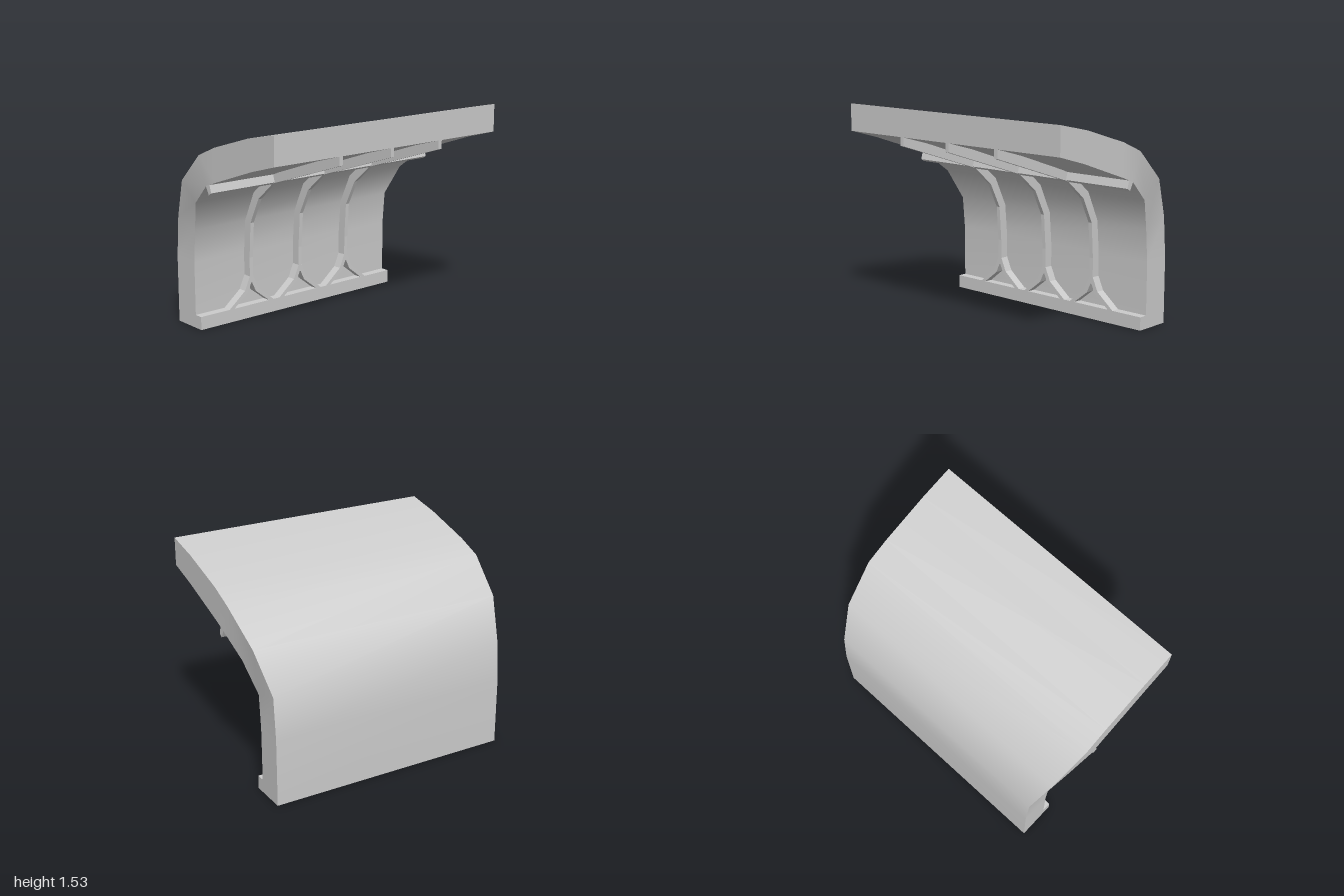
import * as THREE from 'three';
import { toCreasedNormals } from 'three/addons/utils/BufferGeometryUtils.js';

const material = new THREE.MeshStandardMaterial({ color: 0xcccccc });

// Stations along the bend: outer z, outer y, inner z, inner y, half width
const STATIONS = [
  [0.63, 1.53, 0.63, 1.33, 1],
  [0.37, 1.475, 0.4, 1.265, 1],
  [0, 1.365, 0, 1.13, 1],
  [-0.18, 1.29, -0.105, 1.09, 1],
  [-0.45, 1.07, -0.29, 0.94, 0.96],
  [-0.6, 0.78, -0.395, 0.72, 0.9],
  [-0.625, 0.48, -0.415, 0.48, 0.9],
  [-0.625, 0, -0.415, 0, 0.9],
];

function named(name, geometry) {
  const mesh = new THREE.Mesh(geometry, material);
  mesh.name = name;
  return mesh;
}

// Four-cornered loops lofted into one curved slab
function shellGeometry() {
  const pos = [], idx = [];
  STATIONS.forEach(([oz, oy, iz, iy, w]) =>
    pos.push(w, oy, oz, -w, oy, oz, -w, iy, iz, w, iy, iz));
  const last = STATIONS.length - 1;
  for (let i = 0; i < last; i++) {
    for (let k = 0; k < 4; k++) {
      const a = i * 4 + k, b = i * 4 + (k + 1) % 4;
      idx.push(a, a + 4, b, b, a + 4, b + 4);
    }
  }
  const e = last * 4;
  idx.push(0, 1, 2, 0, 2, 3, e, e + 2, e + 1, e, e + 3, e + 2);
  const geometry = new THREE.BufferGeometry();
  geometry.setAttribute('position', new THREE.Float32BufferAttribute(pos, 3));
  geometry.setIndex(idx);
  geometry.computeVertexNormals();
  return toCreasedNormals(geometry, 0.6);
}

// Extrudes a (z, y) outline across x, centred on x = 0
function acrossX(points, width) {
  const shape = new THREE.Shape(points.map(([z, y]) => new THREE.Vector2(z, y)));
  return new THREE.ExtrudeGeometry(shape, { depth: width, bevelEnabled: false })
    .rotateY(-Math.PI / 2)
    .translate(width / 2, 0, 0);
}

export function createModel() {
  const model = new THREE.Group();
  model.name = 'curvedShelter';

  model.add(named('shell', shellGeometry()));

  // Ledge along the foot of the wall
  const ledge = new THREE.BoxGeometry(1.8, 0.096, 0.065).translate(0, 0.048, -0.3825);
  model.add(named('footLedge', ledge));

  // Lip running under the roof where it meets the wall
  model.add(named('roofLip', acrossX(
    [[-0.065, 1.112], [-0.047, 1.052], [-0.075, 1.035], [-0.107, 1.092]], 2)));

  // Rib outline: exposed edge first, then back along the shell's inner face
  const exposed = [[0.63, 1.268], [-0.047, 1.048], [-0.075, 1.035], [-0.237, 0.9],
    [-0.332, 0.71], [-0.35, 0.45], [-0.35, 0.26]];
  const buried = STATIONS.slice(0, 7).map((s) => [s[2], s[3]]);
  const ribOutline = [...exposed, [-0.416, 0.26], ...buried.reverse()];

  // Forked foot: half outline mirrored about the rib's centre line
  const outer = [[0.016, 0.31], [0.06, 0.21], [0.2, 0.095]];
  const inner = [[0.158, 0.095], [0.037, 0.19], [0, 0.27]];
  const half = [...outer, ...inner];
  const mirrored = half.slice(0, 5).reverse().map(([x, y]) => [-x, y]);
  const forkShape = new THREE.Shape(
    [...half, ...mirrored].map(([x, y]) => new THREE.Vector2(x, y)));

  for (const x of [-0.453, 0, 0.453]) {
    const rib = new THREE.Group();
    rib.name = 'rib';
    const fork = new THREE.ExtrudeGeometry(forkShape, { depth: 0.066, bevelEnabled: false })
      .translate(0, 0, -0.416);
    rib.add(named('ribBeam', acrossX(ribOutline, 0.03)), named('ribFork', fork));
    rib.position.x = x;
    model.add(rib);
  }
  return model;
}
